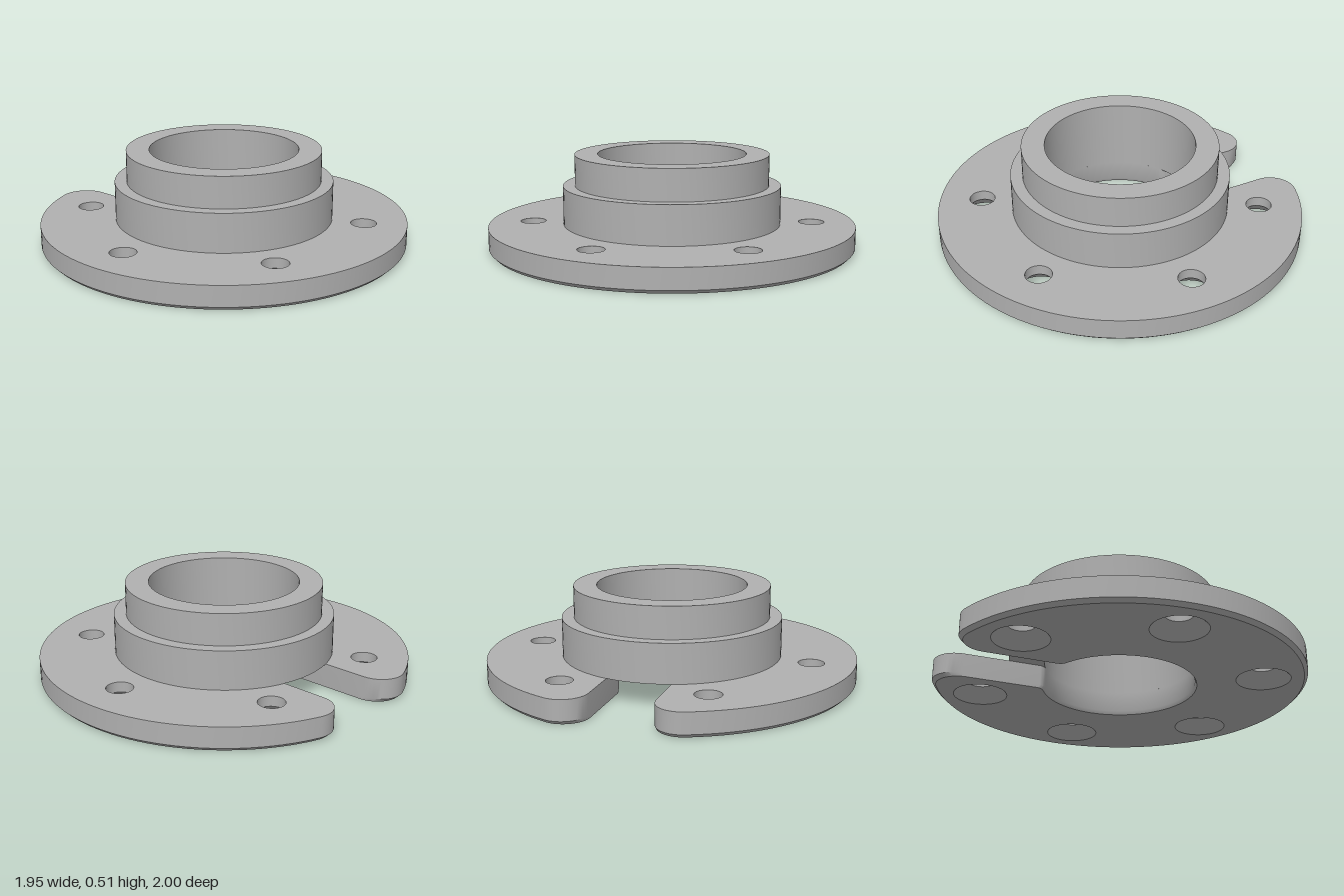
import * as THREE from 'three';
import { toCreasedNormals } from 'three/addons/utils/BufferGeometryUtils.js';

const SLOT = 0.17;      // half width of the side slot
const TOP = 0.13;       // flange thickness
const CHAMFER = 0.02;
const BORE = 0.405;

function arc(cx, cy, r, from, to, n) {
  return Array.from({ length: n + 1 }, (_, i) => {
    const a = from + (to - from) * i / n;
    return new THREE.Vector2(cx + r * Math.cos(a), cy + r * Math.sin(a));
  });
}

// C-shaped outline with rounded tips, open towards -x
function outline(R, bore) {
  const f = 0.13, g = 0.05;
  const c = Math.sqrt((R - f) ** 2 - (SLOT + f) ** 2);
  const d = Math.sqrt((bore + g) ** 2 - (SLOT + g) ** 2);
  const A = Math.atan2(SLOT + f, -c), B = Math.atan2(SLOT + g, -d);
  const half = [
    ...arc(0, 0, R, 0, A, 56),
    ...arc(-c, SLOT + f, f, A, Math.PI * 1.5, 14).slice(1),
    ...arc(-d, SLOT + g, g, Math.PI * 1.5, B + Math.PI, 8),
    ...arc(0, 0, bore, B, 0, 40).slice(1),
  ];
  const mirrored = half.slice(1, -1).reverse().map(p => new THREE.Vector2(p.x, -p.y));
  return [...half, ...mirrored];
}

// Wall joining closed rings of equal point count, bottom to top
function wall(rings) {
  const pos = [];
  const put = (ring, i) => {
    const p = ring.points[i % ring.points.length];
    pos.push(p.x, ring.y, -p.y);
  };
  for (let k = 0; k < rings.length - 1; k++) {
    const lo = rings[k], hi = rings[k + 1];
    for (let i = 0; i < lo.points.length; i++) {
      put(lo, i); put(lo, i + 1); put(hi, i + 1);
      put(lo, i); put(hi, i + 1); put(hi, i);
    }
  }
  const geo = new THREE.BufferGeometry();
  geo.setAttribute('position', new THREE.Float32BufferAttribute(pos, 3));
  return toCreasedNormals(geo, 0.5);
}

export function createModel() {
  const group = new THREE.Group();
  const metal = new THREE.MeshStandardMaterial({ color: 0xb0b0b0 });
  metal.name = 'plain grey metal';
  const add = (name, geo) => {
    const mesh = new THREE.Mesh(geo, metal);
    mesh.name = name;
    mesh.position.x = -0.027;
    group.add(mesh);
  };

  // Six bolt holes, wound clockwise so their walls face inwards
  const centres = Array.from({ length: 6 }, (_, i) => {
    const a = Math.PI / 6 + i * Math.PI / 3;
    return [0.767 * Math.cos(a), 0.767 * Math.sin(a)];
  });
  const holeRing = ([x, y], r) => arc(x, y, r, Math.PI * 2, 0, 40).slice(0, -1);

  const face = (points, holeRadius) => {
    const shape = new THREE.Shape(points);
    shape.holes = centres.map(c => new THREE.Path(holeRing(c, holeRadius)));
    return new THREE.ShapeGeometry(shape);
  };

  // Flange: top, underside and chamfered rim
  const full = outline(1, BORE);
  const bottom = outline(1 - CHAMFER, BORE + 0.01);
  add('flangeTop', face(full, 0.07).rotateX(-Math.PI / 2).translate(0, TOP, 0));
  add('flangeUnderside', face(bottom, 0.145).rotateX(Math.PI / 2));
  add('flangeRim', wall([
    { points: bottom, y: 0 }, { points: full, y: CHAMFER }, { points: full, y: TOP },
  ]));

  // Holes countersunk from below
  for (const c of centres) {
    add('countersunkHole', wall([
      { points: holeRing(c, 0.145), y: 0 },
      { points: holeRing(c, 0.07), y: 0.075 },
      { points: holeRing(c, 0.07), y: TOP },
    ]));
  }

  // Stepped hollow hub
  const profile = [
    [BORE, TOP], [0.595, TOP], [0.595, 0.34], [0.53, 0.34],
    [0.53, 0.51], [BORE, 0.51], [BORE, TOP],
  ].map(([r, y]) => new THREE.Vector2(r, y));
  add('steppedHub', toCreasedNormals(new THREE.LatheGeometry(profile, 96), 0.5));

  return group;
}
